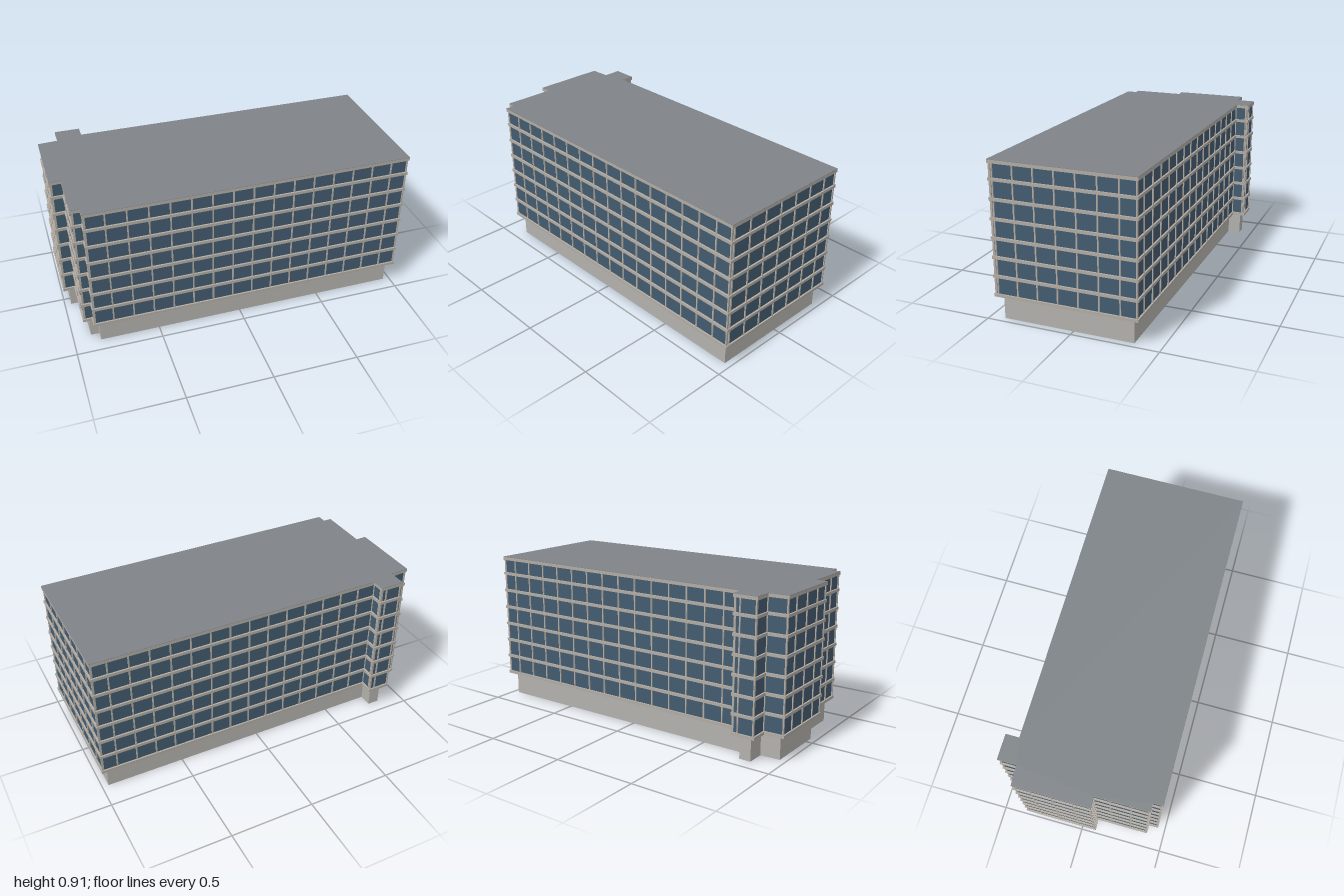
import * as THREE from 'three';

// Footprint corners [x, z] and the distance to the first mullion on the wall that follows
const PLAN = [
  [-0.885, -0.46, 0.105], [-0.74, -0.46, 0.02], [-0.74, -0.382, 0.105], [1, -0.386, 0.102],
  [1, 0.451, 0.109], [-0.885, 0.457, 0.105], [-0.885, 0.4, 0.105], [-0.935, 0.4, 0.105],
  [-0.935, 0.092, 0.105], [-1, 0.095, 0.105], [-1, -0.345, 0.105], [-0.885, -0.352, 0.105],
];
const BASE_TOP = 0.14, ROOF = 0.908, BAY = 0.1184;

const corners = PLAN.map(([x, z]) => new THREE.Vector2(x, z));
const at = (list, i) => list[(i + list.length) % list.length];

// Outward normal of the wall from corner i to corner i + 1
function wallNormal(i) {
  const d = at(corners, i + 1).clone().sub(at(corners, i)).normalize();
  return new THREE.Vector2(d.y, -d.x);
}

// Footprint moved inwards by t
function inset(t) {
  return corners.map((p, i) => {
    const a = wallNormal(i - 1 + corners.length), b = wallNormal(i);
    return p.clone().addScaledVector(a.clone().add(b), -t / (1 + a.dot(b)));
  });
}

// Upright slab of the inset footprint between two heights
function slab(name, t, y0, y1, material) {
  const shape = new THREE.Shape(inset(t).map((p) => new THREE.Vector2(p.x, -p.y)));
  const geo = new THREE.ExtrudeGeometry(shape, { depth: y1 - y0, bevelEnabled: false });
  geo.rotateX(-Math.PI / 2).translate(0, y0, 0);
  const mesh = new THREE.Mesh(geo, material);
  mesh.name = name;
  return mesh;
}

export function createModel() {
  const make = (name, color) => {
    const m = new THREE.MeshStandardMaterial({ color });
    m.name = name;
    return m;
  };
  const concrete = make('concrete', 0xb3b1ac);
  const frame = make('frame', 0xb1aba3);
  const glass = make('glass', 0x425b6e);
  const roofing = make('roofing', 0x7f8488);

  const model = new THREE.Group();
  model.name = 'officeBuilding';

  // Recessed ground floor and glazed body
  model.add(slab('groundFloor', 0.038, 0, BASE_TOP + 0.005, concrete));
  model.add(slab('glazing', 0.01, BASE_TOP + 0.005, ROOF - 0.01, glass));

  // Floor bands
  const bands = new THREE.Group();
  bands.name = 'floorBands';
  bands.add(slab('bottomBand', 0, BASE_TOP, 0.157, frame));
  for (let i = 0; i < 6; i++) {
    const y = 0.259 + i * 0.1083;
    bands.add(slab('floorBand', 0, y - 0.0085, y + 0.0085, frame));
  }
  bands.add(slab('topBand', 0, 0.887, ROOF - 0.002, frame));
  model.add(bands);

  // Flat roof
  model.add(slab('roof', 0, ROOF - 0.002, ROOF, roofing));

  // Mullions at the corners and at every bay along each wall
  const mullions = new THREE.Group();
  mullions.name = 'mullions';
  const height = ROOF - BASE_TOP - 0.02;
  const barGeo = new THREE.BoxGeometry(0.008, height, 0.012);
  const addBar = (p, angle) => {
    const bar = new THREE.Mesh(barGeo, frame);
    bar.name = 'mullion';
    bar.position.set(p.x, BASE_TOP + 0.01 + height / 2, p.y);
    bar.rotation.y = angle;
    mullions.add(bar);
  };
  const line = inset(0.01);
  PLAN.forEach(([, , first], i) => {
    const a = corners[i], n = wallNormal(i);
    const d = new THREE.Vector2(-n.y, n.x);
    const length = a.distanceTo(at(corners, i + 1));
    const angle = Math.atan2(n.x, n.y);
    addBar(line[i], angle);
    for (let s = first; s < length - 0.015; s += BAY) {
      addBar(a.clone().addScaledVector(d, s).addScaledVector(n, -0.01), angle);
    }
  });
  model.add(mullions);

  return model;
}
